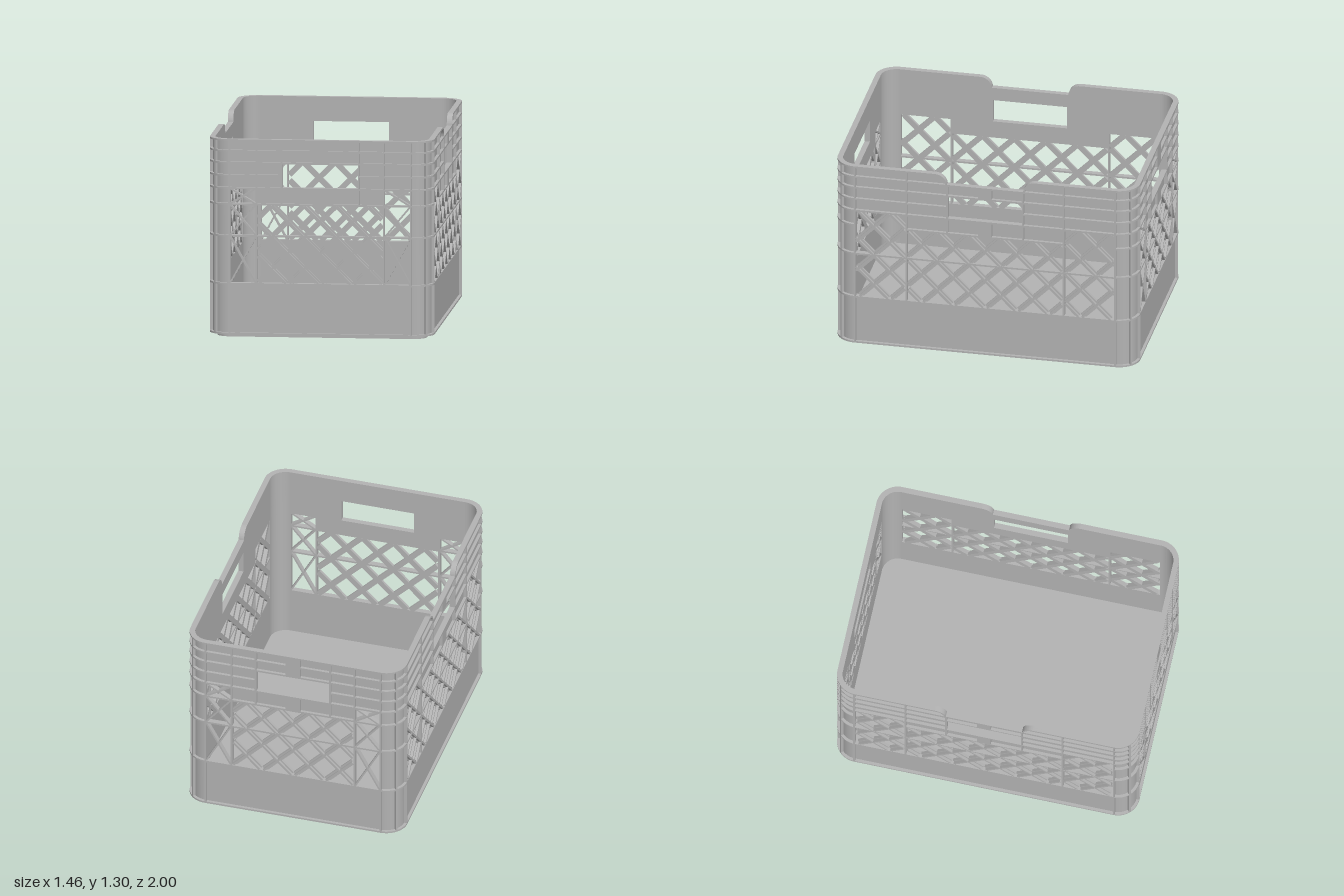
import * as THREE from 'three';
import { toCreasedNormals } from 'three/addons/utils/BufferGeometryUtils.js';

const X = 0.73, Z = 1, R = 0.14, TOP = 1.297, BOTTOM = 0.02;
const DEPTH = 0.036, RECESS = 0.019, RIB = 0.012;
const RIB_LEVELS = [0.026, 0.352, 0.665, 0.872, 0.977, 1.06, 1.143, 1.22];
const grey = new THREE.MeshStandardMaterial({ color: 0xb2b2b2 });
grey.name = 'greyPlastic';

function add(parent, name, geometry) {
  const mesh = new THREE.Mesh(geometry, grey);
  mesh.name = name;
  parent.add(mesh);
  return mesh;
}

function extrude(shape, depth) {
  const g = new THREE.ExtrudeGeometry(shape, { depth, bevelEnabled: false, curveSegments: 10 });
  return toCreasedNormals(g, 0.6);
}

// Rectangle outline, usable as a hole
function rect(x0, x1, y0, y1) {
  return new THREE.Path([[x0, y0], [x0, y1], [x1, y1], [x1, y0]].map(p => new THREE.Vector2(...p)));
}

// Box given by its limits in a wall's own frame (z = 0 is the outer face)
function block(parent, name, x0, x1, y0, y1, z0 = -DEPTH, z1 = 0) {
  add(parent, name, new THREE.BoxGeometry(x1 - x0, y1 - y0, z1 - z0))
    .position.set((x0 + x1) / 2, (y0 + y1) / 2, (z0 + z1) / 2);
}
const acrossRib = (p, x0, x1, y) => block(p, 'horizontalRib', x0, x1, y - RIB / 2, y + RIB / 2);
const uprightRib = (p, x, y0, y1) => block(p, 'uprightRib', x - RIB / 2, x + RIB / 2, y0, y1);

// Slanted bar between two points
function bar(parent, name, x0, y0, x1, y1, width, z0, z1) {
  const mesh = add(parent, name, new THREE.BoxGeometry(Math.hypot(x1 - x0, y1 - y0), width, z1 - z0));
  mesh.position.set((x0 + x1) / 2, (y0 + y1) / 2, (z0 + z1) / 2);
  mesh.rotation.z = Math.atan2(y1 - y0, x1 - x0);
}

// Diagonal lattice clipped to a rectangle: flat bars with a narrow outer rib
function lattice(parent, x0, x1, y0, y1) {
  for (const s of [1, -1]) {
    const [a, b] = s > 0 ? [x0, x1] : [-x1, -x0];
    for (let k = -8; k <= 8; k++) {
      const c = -0.765 + 0.21 * k;
      const lo = Math.max(a, y0 + c) + 0.006, hi = Math.min(b, y1 + c) - 0.006;
      if (hi - lo < 0.02) continue;
      bar(parent, 'latticeBar', s * lo, lo - c, s * hi, hi - c, 0.036, -DEPTH, -RECESS);
      bar(parent, 'latticeRib', s * lo, lo - c, s * hi, hi - c, 0.014, -RECESS, -0.002);
    }
  }
}

// Front and back wall
function endWall() {
  const wall = new THREE.Group(), L = X - R;
  const shape = new THREE.Shape(rect(-L, L, BOTTOM, TOP).getPoints());
  shape.holes.push(rect(-0.245, 0.245, 0.977, 1.143), rect(-0.408, 0.408, 0.352, 0.872),
    rect(0.42, L - 0.004, 0.352, 0.977), rect(-L + 0.004, -0.42, 0.352, 0.977));
  add(wall, 'endPanel', extrude(shape, DEPTH - RECESS)).position.z = -DEPTH;
  lattice(wall, -0.408, 0.408, 0.352, 0.872);
  for (const y of RIB_LEVELS) {
    if (y === 1.06) {
      acrossRib(wall, -L, -0.245, y);
      acrossRib(wall, 0.245, L, y);
    } else acrossRib(wall, -L, L, y);
  }
  block(wall, 'rim', -L, L, TOP - RIB, TOP);
  for (const s of [1, -1]) {
    uprightRib(wall, s * L, BOTTOM, TOP);
    uprightRib(wall, s * 0.414, 0.352, TOP);
    uprightRib(wall, s * 0.251, 0.872, TOP);
    // Thin crossed braces beside the lattice
    for (const [y0, y1] of [[0.352, 0.665], [0.665, 0.872], [0.872, 0.977]]) {
      bar(wall, 'crossBrace', s * 0.416, y0, s * 0.588, y1, 0.011, -DEPTH, -0.002);
      bar(wall, 'crossBrace', s * 0.416, y1, s * 0.588, y0, 0.011, -DEPTH, -0.002);
    }
  }
  block(wall, 'gripBlock', -0.05, 0.05, 1.143, TOP);
  block(wall, 'gripBlock', -0.05, 0.05, 0.872, 0.977);
  return wall;
}

// Left and right wall, with a lowered grip
function sideWall() {
  const wall = new THREE.Group(), L = Z - R, r = 0.078, low = TOP - r;
  const shape = new THREE.Shape();
  shape.moveTo(-L, BOTTOM).lineTo(L, BOTTOM).lineTo(L, TOP).lineTo(0.33, TOP);
  shape.absarc(0.33, low, r, Math.PI / 2, Math.PI, false);
  shape.lineTo(-0.33 + r, low);
  shape.absarc(-0.33, low, r, 0, Math.PI / 2, false);
  shape.lineTo(-L, TOP);
  shape.holes.push(rect(-0.245, 0.245, 0.977, 1.143), rect(-0.514, 0.514, 0.352, 0.872),
    rect(0.526, L - 0.004, 0.352, 0.977), rect(-L + 0.004, -0.526, 0.352, 0.977));
  add(wall, 'sidePanel', extrude(shape, DEPTH - RECESS)).position.z = -DEPTH;
  lattice(wall, -0.514, 0.514, 0.352, 0.872);

  for (const y of RIB_LEVELS) {
    if (y === 1.06) {
      acrossRib(wall, -L, -0.245, y);
      acrossRib(wall, 0.245, L, y);
    } else if (y === 0.872) acrossRib(wall, -0.52, 0.52, y);
    else acrossRib(wall, -L, L, y);
  }
  for (const s of [1, -1]) {
    lattice(wall, s > 0 ? 0.526 : -L, s > 0 ? L : -0.526, 0.352, 0.977);
    uprightRib(wall, s * L, BOTTOM, TOP);
    uprightRib(wall, s * 0.52, 0.352, TOP);
    uprightRib(wall, s * 0.251, 0.977, low);
    uprightRib(wall, s * 0.251, 0.872, 0.977);
    // Rim following the curve down to the grip
    const rim = new THREE.Shape();
    rim.moveTo(s * L, TOP).lineTo(s * 0.33, TOP);
    const top = Math.PI / 2, side = s > 0 ? Math.PI : 0;
    rim.absarc(s * 0.33, low, r, top, side, s < 0);
    rim.lineTo(s * (0.33 - r + RIB), low);
    rim.absarc(s * 0.33, low, r - RIB, side, top, s > 0);
    rim.lineTo(s * L, TOP - RIB);
    add(wall, 'rim', extrude(rim, DEPTH)).position.z = -DEPTH;
  }
  block(wall, 'gripBlock', -0.045, 0.045, 1.143, low);
  block(wall, 'gripBlock', -0.045, 0.045, 0.872, 0.977);
  return wall;
}

// Quarter ring standing between two heights
function quarterRing(parent, name, start, outer, y0, y1) {
  const shape = new THREE.Shape();
  shape.absarc(0, 0, outer, start, start + Math.PI / 2, false);
  shape.absarc(0, 0, R - DEPTH, start + Math.PI / 2, start, true);
  add(parent, name, extrude(shape, y1 - y0).rotateX(Math.PI / 2)).position.y = y1;
}

function corner(start) {
  const post = new THREE.Group();
  quarterRing(post, 'cornerPanel', start, R - RECESS, BOTTOM, TOP);
  for (const y of RIB_LEVELS) quarterRing(post, 'cornerRib', start, R, y - RIB / 2, y + RIB / 2);
  quarterRing(post, 'cornerRim', start, R, TOP - RIB, TOP);
  // Upright rib on the middle of the curve
  const a = start + Math.PI / 4, mid = R - 0.5 * (RECESS + 0.004);
  const rib = add(post, 'cornerUprightRib', new THREE.BoxGeometry(RECESS + 0.004, TOP - BOTTOM, RIB));
  rib.position.set(Math.cos(a) * mid, (TOP + BOTTOM) / 2, Math.sin(a) * mid);
  rib.rotation.y = -a;
  return post;
}

// Horizontal plate with rounded corners
function plate(parent, name, x, z, r, y0, y1) {
  const shape = new THREE.Shape();
  [[1, 1], [-1, 1], [-1, -1], [1, -1]].forEach(([sx, sz], i) =>
    shape.absarc(sx * (x - r), sz * (z - r), r, i * Math.PI / 2, (i + 1) * Math.PI / 2, false));
  add(parent, name, extrude(shape, y1 - y0).rotateX(Math.PI / 2)).position.y = y1;
}

export function createModel() {
  const crate = new THREE.Group();
  crate.name = 'crate';
  plate(crate, 'base', X - 0.05, Z - 0.05, R - 0.05, 0, BOTTOM);
  plate(crate, 'floor', X - 0.02, Z - 0.02, R - 0.02, BOTTOM, 0.036);

  const walls = [['frontWall', endWall, 0], ['leftWall', sideWall, 1],
    ['backWall', endWall, 2], ['rightWall', sideWall, 3]];
  for (const [name, build, turn] of walls) {
    const wall = build(), a = turn * Math.PI / 2;
    wall.name = name;
    wall.rotation.y = a;
    wall.position.set(Math.sin(a) * X, 0, Math.cos(a) * Z);
    crate.add(wall);
  }

  [[1, 1], [-1, 1], [-1, -1], [1, -1]].forEach(([sx, sz], i) => {
    const post = corner(i * Math.PI / 2);
    post.name = 'cornerPost';
    post.position.set(sx * (X - R), 0, sz * (Z - R));
    crate.add(post);
  });
  return crate;
}
